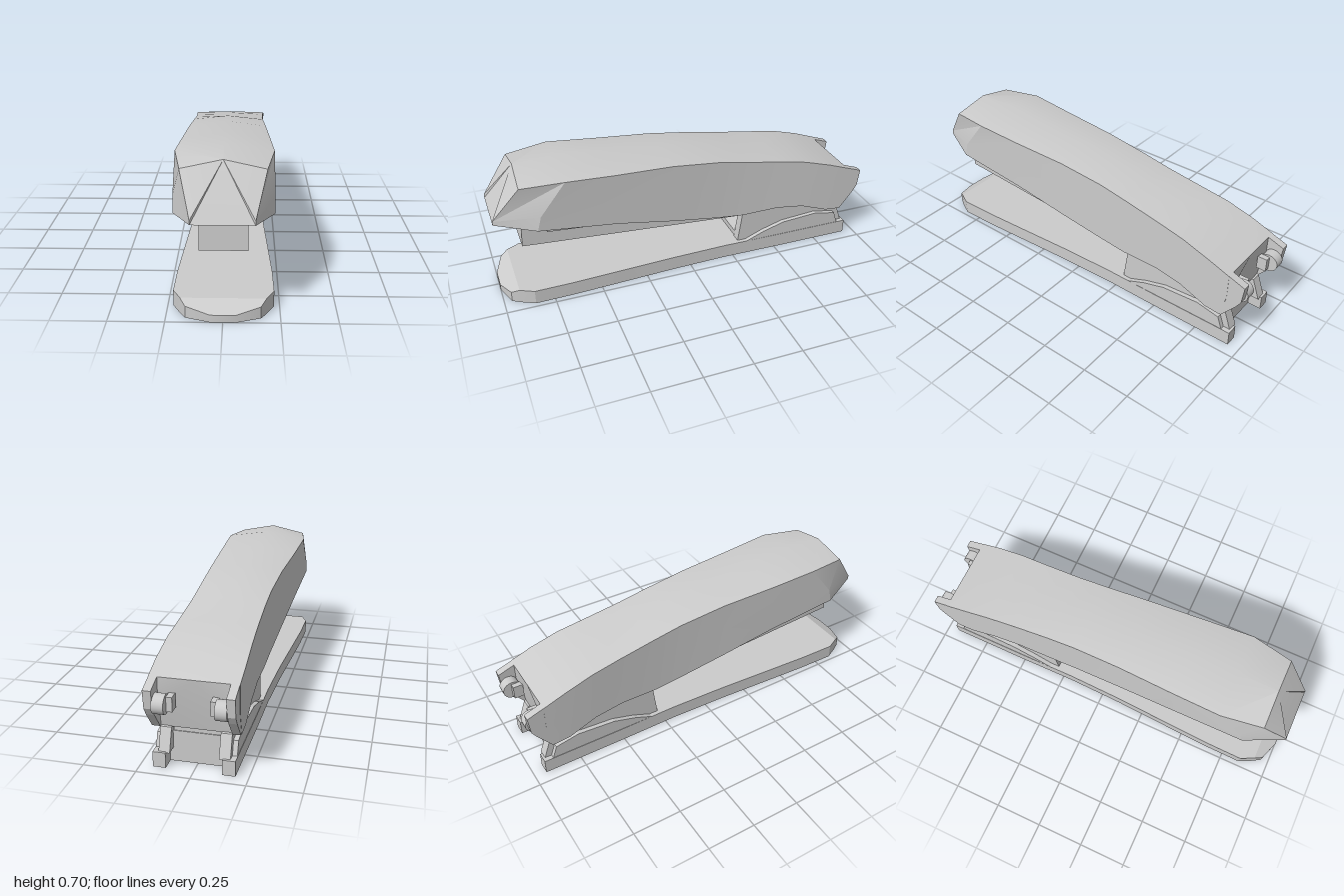
import * as THREE from 'three';
import { toCreasedNormals } from 'three/addons/utils/BufferGeometryUtils.js';

const material = new THREE.MeshStandardMaterial({ color: 0xcccccc });

function part(name, geometry, parent) {
  const mesh = new THREE.Mesh(geometry, material);
  mesh.name = name;
  parent.add(mesh);
  return mesh;
}

// Skin mirrored cross-sections, listed front to back.
// Each section is its +x half: [x, y, z] points from top centre to bottom.
function loft(sections) {
  const rings = sections.map((half) => {
    const mirrored = half.filter((p) => p[0] > 0).map(([x, y, z]) => [-x, y, z]).reverse();
    return [...half, ...mirrored];
  });
  const n = rings[0].length, last = (rings.length - 1) * n, index = [];
  for (let s = 0; s < rings.length - 1; s++) {
    for (let i = 0; i < n; i++) {
      const j = (i + 1) % n;
      const a = s * n + i, b = s * n + j, c = b + n, d = a + n;
      index.push(a, b, d, b, c, d);
    }
  }
  for (let i = 1; i < n - 1; i++) {
    index.push(0, i + 1, i, last, last + i, last + i + 1);
  }
  const g = new THREE.BufferGeometry();
  g.setAttribute('position', new THREE.Float32BufferAttribute(rings.flat(2), 3));
  g.setIndex(index);
  return toCreasedNormals(g, 0.4);
}

// Extrude a side profile of [z, y] points across x0..x1.
function sideProfile(points, x0, x1) {
  const shape = new THREE.Shape(points.map(([z, y]) => new THREE.Vector2(z, y)));
  const g = new THREE.ExtrudeGeometry(shape, { depth: x1 - x0, bevelEnabled: false });
  return g.rotateY(-Math.PI / 2).translate(x1, 0, 0);
}

// The same side profile on both sides of the model
function pair(name, points, x0, x1, parent) {
  part(name + 'Left', sideProfile(points, x0, x1), parent);
  part(name + 'Right', sideProfile(points, -x1, -x0), parent);
}

export function createModel() {
  const model = new THREE.Group();
  model.name = 'stapler';

  // Base plate: waisted, with a faceted sloping nose
  const baseStations = [ // z, half width, top height
    [1, 0.055, 0.035], [0.96, 0.165, 0.055], [0.92, 0.19, 0.075], [0.85, 0.225, 0.075],
    [0.65, 0.222, 0.075], [0.4, 0.21, 0.075], [0.1, 0.195, 0.075], [-0.2, 0.187, 0.075],
    [-0.5, 0.19, 0.075], [-0.87, 0.19, 0.075],
  ];
  part('basePlate', loft(baseStations.map(([z, w, y]) => [[0, y, z], [w, y, z], [w, 0, z]])), model);
  pair('baseRearTab', [[-0.86, 0], [-0.94, 0], [-0.94, 0.075], [-0.86, 0.075]], 0.13, 0.19, model);

  // Top cover: ridged top, slanted front, rising underside
  const coverStations = [ // z, half width, ridge, shoulder, underside
    [0.4, 0.212, 0.68, 0.647, 0.37], [0.1, 0.196, 0.655, 0.63, 0.308],
    [-0.15, 0.187, 0.62, 0.6, 0.266], [-0.3, 0.187, 0.588, 0.573, 0.25],
    [-0.5, 0.193, 0.55, 0.54, 0.257], [-0.65, 0.2, 0.52, 0.514, 0.24],
    [-0.8, 0.205, 0.473, 0.47, 0.187],
  ];
  part('topCover', loft([
    [[0, 0.69, 0.86], [0.187, 0.65, 0.865], [0.137, 0.47, 1], [0.137, 0.45, 1]],
    [[0, 0.7, 0.65], [0.223, 0.665, 0.65], [0.225, 0.5, 0.78], [0.225, 0.425, 0.8]],
    ...coverStations.map(([z, w, ridge, shoulder, under]) => [
      [0, ridge, z], [w, shoulder, z], [w, (shoulder + under) / 2, z], [w, under, z],
    ]),
    [[0, 0.43, -0.91], [0.205, 0.43, -0.91], [0.205, 0.3, -0.91], [0.205, 0.18, -0.88]],
  ]), model);

  // Cover cheeks behind the rear wall
  pair('coverCheek', [
    [-0.87, 0.18], [-0.89, 0.18], [-0.96, 0.27], [-0.985, 0.31], [-0.995, 0.4], [-0.91, 0.43], [-0.87, 0.43],
  ], 0.165, 0.204, model);

  // Pivot discs and stop blocks between the cheeks
  for (const side of [-1, 1]) {
    const disc = part('pivotDisc', new THREE.CylinderGeometry(0.047, 0.047, 0.055, 20), model);
    disc.rotation.z = Math.PI / 2;
    disc.position.set(side * 0.14, 0.325, -0.952);
    const block = part('pivotStop', new THREE.BoxGeometry(0.03, 0.07, 0.05), model);
    block.position.set(side * 0.1, 0.325, -0.93);
  }

  // Staple magazine and the rails on its sides
  part('magazine', sideProfile([
    [0.87, 0.278], [0.862, 0.437], [-0.3, 0.35], [-0.87, 0.28], [-0.87, 0.157],
  ], -0.108, 0.108), model);
  pair('magazineRail', [[0.745, 0.355], [0.745, 0.395], [0.4, 0.375], [-0.1, 0.32], [-0.1, 0.292]], 0.105, 0.14, model);

  // Hinge bracket: two walls, a ramped floor and flared side arches
  pair('hingeWall', [
    [-0.285, 0.07], [-0.31, 0.25], [-0.5, 0.26], [-0.65, 0.245], [-0.89, 0.18], [-0.93, 0.07],
  ], 0.113, 0.165, model);
  part('hingeFloor', sideProfile([
    [-0.29, 0.07], [-0.29, 0.105], [-0.87, 0.155], [-0.87, 0.07],
  ], -0.114, 0.114), model);
  pair('sideArch', [
    [-0.32, 0.07], [-0.43, 0.115], [-0.55, 0.15], [-0.75, 0.165], [-0.87, 0.14], [-0.895, 0.07],
  ], 0.16, 0.188, model);

  return model;
}
